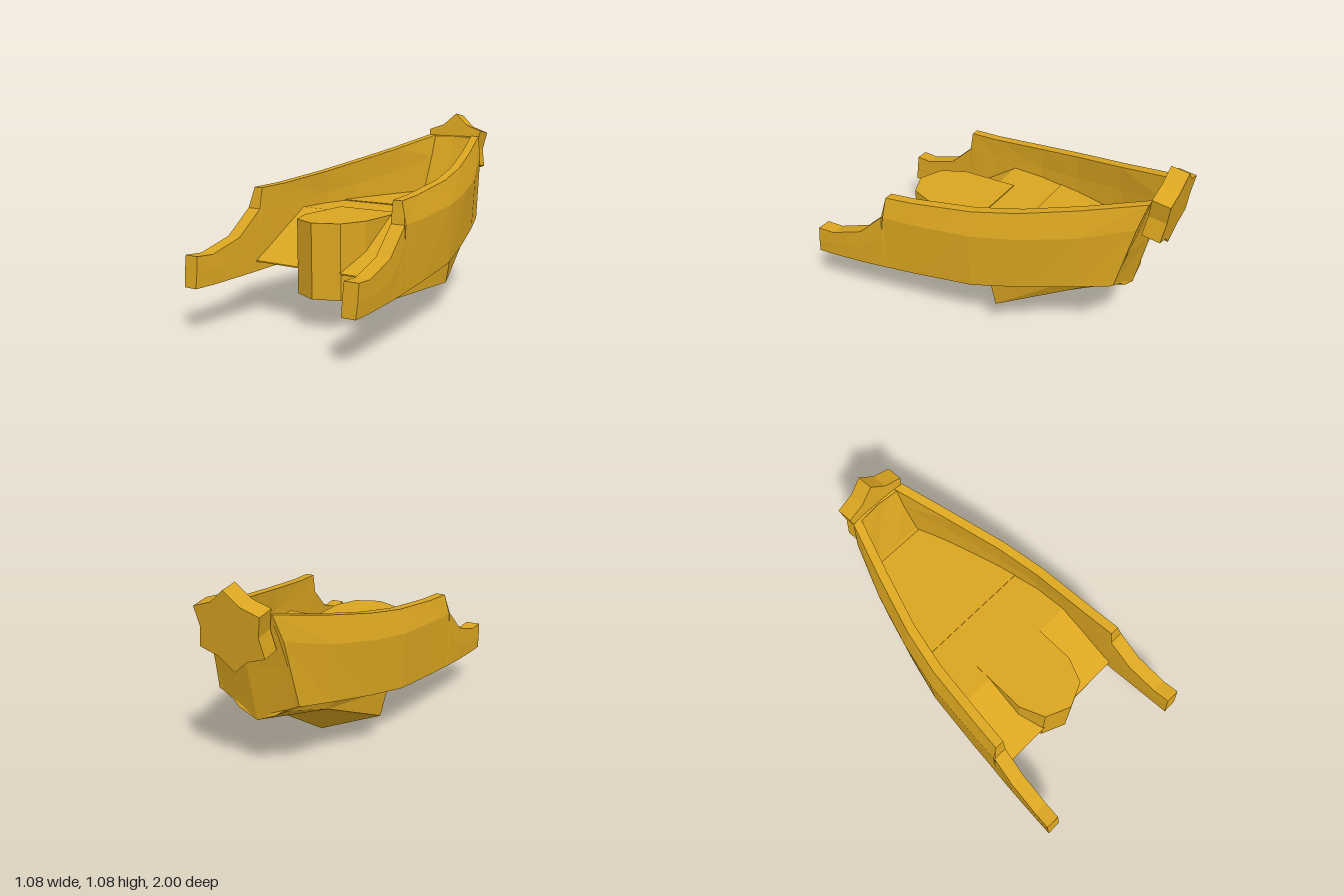
import * as THREE from 'three';

const gold = new THREE.MeshStandardMaterial({ color: 0xdaa520 });
gold.name = 'gold';

// Closed faceted solid through rings of [x, y, z] points, with fan caps.
function loft(rings) {
  const p = [];
  const tri = (a, b, c) => p.push(...a, ...b, ...c);
  const n = rings[0].length;
  for (let i = 0; i < rings.length - 1; i++) {
    for (let j = 0; j < n; j++) {
      const k = (j + 1) % n, a = rings[i], b = rings[i + 1];
      tri(a[j], a[k], b[k]);
      tri(a[j], b[k], b[j]);
    }
  }
  const cap = (r, flip) => {
    const c = [0, 1, 2].map((d) => r.reduce((s, v) => s + v[d], 0) / n);
    r.forEach((v, j) => {
      const w = r[(j + 1) % n];
      if (flip) tri(c, w, v); else tri(c, v, w);
    });
  };
  cap(rings[0], true);
  cap(rings[rings.length - 1], false);
  // turn the faces outwards when the enclosed volume is negative
  let volume = 0;
  const at = (i) => new THREE.Vector3(p[i], p[i + 1], p[i + 2]);
  for (let i = 0; i < p.length; i += 9) volume += at(i).dot(at(i + 3).cross(at(i + 6)));
  if (volume < 0) {
    for (let i = 0; i < p.length; i += 9) {
      for (let d = 0; d < 3; d++) [p[i + 3 + d], p[i + 6 + d]] = [p[i + 6 + d], p[i + 3 + d]];
    }
  }
  const g = new THREE.BufferGeometry();
  g.setAttribute('position', new THREE.Float32BufferAttribute(p, 3));
  g.computeVertexNormals();
  return g;
}

function add(group, name, geometry) {
  const mesh = new THREE.Mesh(geometry, gold);
  mesh.name = name;
  group.add(mesh);
  return mesh;
}

// Side wall stations: z, y and outer x at the bottom, crease and top
const wallStations = [
  [[1, 0.25, 0.535], [0.99, 0.33, 0.54], [0.98, 0.415, 0.54]],
  [[0.88, 0.25, 0.528], [0.88, 0.33, 0.532], [0.88, 0.41, 0.532]],
  [[0.69, 0.258, 0.515], [0.69, 0.36, 0.52], [0.69, 0.47, 0.518]],
  [[0.55, 0.266, 0.503], [0.545, 0.5, 0.507], [0.54, 0.605, 0.505]],
  [[0.53, 0.268, 0.5], [0.53, 0.605, 0.504], [0.52, 0.72, 0.475]],
  [[0.35, 0.28, 0.485], [0.35, 0.61, 0.493], [0.35, 0.728, 0.46]],
  [[0, 0.31, 0.45], [0, 0.635, 0.465], [0, 0.765, 0.425]],
  [[-0.25, 0.35, 0.39], [-0.25, 0.665, 0.413], [-0.25, 0.805, 0.375]],
  [[-0.55, 0.405, 0.305], [-0.55, 0.72, 0.325], [-0.55, 0.865, 0.285]],
  [[-0.74, 0.44, 0.24], [-0.83, 0.8, 0.215], [-0.87, 0.94, 0.18]],
];

function wallGeometry(side) {
  return loft(wallStations.map((s, i) => {
    const thick = [0.08, 0.085, i < 4 ? 0.082 : 0.053];
    const outer = s.map(([z, y, x]) => [side * x, y, z]);
    const inner = s.map(([z, y, x], k) => [side * (x - thick[k]), y, z]);
    return [...outer, ...inner.reverse()];
  }));
}

// Box-like section: half width, bottom, top, z
const slab = (w, y0, y1, z) => [[-w, y0, z], [w, y0, z], [w, y1, z], [-w, y1, z]];

export function createModel() {
  const model = new THREE.Group();
  model.name = 'hull';

  add(model, 'leftWall', wallGeometry(1));
  add(model, 'rightWall', wallGeometry(-1));

  // Inner floor with a ramp at the front, and a slightly raised rear deck
  add(model, 'rampFloor', loft([
    slab(0.43, 0.318, 0.325, 0.575),
    slab(0.405, 0.32, 0.575, 0.2),
    slab(0.36, 0.345, 0.575, -0.14),
  ]));
  add(model, 'rearDeck', loft([
    slab(0.36, 0.345, 0.58, -0.14),
    slab(0.33, 0.365, 0.58, -0.25),
    slab(0.24, 0.42, 0.58, -0.55),
    slab(0.17, 0.46, 0.58, -0.75),
  ]));

  // Upright nose block with a faceted prow
  const plan = new THREE.Shape([
    [-0.2, 0.1], [0.2, 0.1], [0.2, 0.43], [0.14, 0.57],
    [0, 0.63], [-0.14, 0.57], [-0.2, 0.43],
  ].map(([x, z]) => new THREE.Vector2(x, z)));
  const nose = add(model, 'noseBlock', new THREE.ExtrudeGeometry(plan, { depth: 0.4, bevelEnabled: false }));
  nose.rotation.x = Math.PI / 2;
  nose.position.y = 0.581;

  // V-shaped keel under the rear half
  const keelRing = ([z, zt, xt, yt, xc, yc, yk]) => [
    [-xt, yt, zt], [-xc, yc, z], [0, yk, z], [xc, yc, z], [xt, yt, zt],
  ];
  add(model, 'keel', loft([
    [-0.11, -0.1, 0.41, 0.335, 0.375, 0.17, 0.005],
    [-0.5, -0.48, 0.315, 0.41, 0.265, 0.34, 0.25],
    [-0.7, -0.69, 0.25, 0.45, 0.16, 0.386, 0.305],
    [-0.757, -0.73, 0.22, 0.455, 0.11, 0.37, 0.322],
  ].map(keelRing)));

  // Folded rear panel: inner x, y, z, inner centre y, z, outer x, y, z, outer centre y, z
  const rearRing = ([xi, yi, zi, yic, zic, xo, yo, zo, yoc, zoc]) => [
    [-xi, yi, zi], [0, yic, zic], [xi, yi, zi],
    [xo, yo, zo], [0, yoc, zoc], [-xo, yo, zo],
  ];
  add(model, 'rearPanel', loft([
    [0.2, 0.46, -0.7, 0.45, -0.7, 0.235, 0.44, -0.735, 0.325, -0.76],
    [0.15, 0.6, -0.765, 0.6, -0.765, 0.22, 0.66, -0.8, 0.64, -0.832],
    [0.13, 0.8, -0.82, 0.885, -0.855, 0.2, 0.82, -0.845, 0.89, -0.872],
    [0.135, 0.93, -0.86, 0.935, -0.868, 0.17, 0.935, -0.872, 0.94, -0.885],
  ].map(rearRing)));

  // Six-pointed plate leaning back on the stern
  const points = [];
  for (let i = 0; i < 12; i++) {
    const r = i % 2 ? 0.165 : 0.215, a = Math.PI / 2 + (i * Math.PI) / 6;
    points.push(new THREE.Vector2(r * Math.cos(a), r * Math.sin(a)));
  }
  const starGeometry = new THREE.ExtrudeGeometry(new THREE.Shape(points), { depth: 0.1, bevelEnabled: false });
  starGeometry.translate(0, 0, -0.05);
  const star = add(model, 'sternStar', starGeometry);
  star.rotation.x = -0.165;
  star.position.set(0, 0.86, -0.915);

  return model;
}
